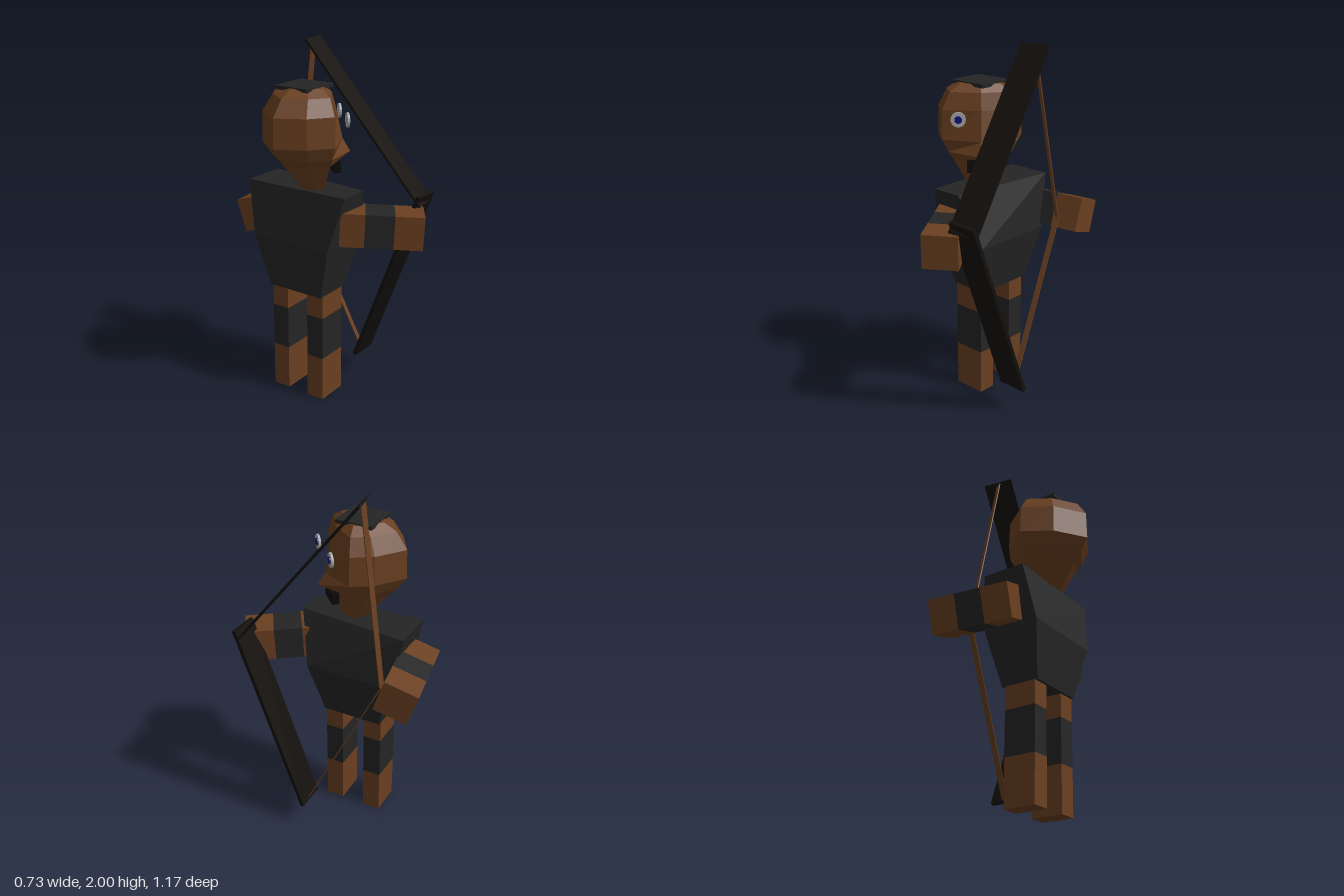
import * as THREE from 'three';

const mat = (color) => new THREE.MeshStandardMaterial({ color, flatShading: true, side: THREE.DoubleSide });
const skin = mat(0x6a3f20), cloth = mat(0x252525), bowWood = mat(0x130f0c);
const white = mat(0xa8a8a8), blue = mat(0x10107c), black = mat(0x0c0a09);

function add(parent, name, geometry, material, x = 0, y = 0, z = 0) {
  const mesh = new THREE.Mesh(geometry, material);
  mesh.name = name;
  mesh.position.set(x, y, z);
  parent.add(mesh);
  return mesh;
}

// Closed skin over rings of [x, y, z] points, listed bottom to top
function loft(rings) {
  const pos = [];
  const n = rings[0].length;
  const tri = (a, b, c) => pos.push(...a, ...b, ...c);
  for (let r = 0; r < rings.length - 1; r++) {
    for (let i = 0; i < n; i++) {
      const j = (i + 1) % n, lo = rings[r], hi = rings[r + 1];
      tri(lo[i], lo[j], hi[j]);
      tri(lo[i], hi[j], hi[i]);
    }
  }
  const bottom = rings[0], top = rings[rings.length - 1];
  for (let i = 1; i < n - 1; i++) {
    tri(bottom[0], bottom[i + 1], bottom[i]);
    tri(top[0], top[i], top[i + 1]);
  }
  const geometry = new THREE.BufferGeometry();
  geometry.setAttribute('position', new THREE.Float32BufferAttribute(pos, 3));
  geometry.computeVertexNormals();
  return geometry;
}

// Straight bar between two points, split into coloured bands [length, material]
function beam(parent, name, from, to, width, height, bands, roll = 0) {
  const group = new THREE.Group();
  group.name = name;
  const a = new THREE.Vector3(...from), b = new THREE.Vector3(...to);
  const total = bands.reduce((sum, band) => sum + band[0], 0);
  const scale = a.distanceTo(b) / total;
  group.position.copy(a);
  group.lookAt(b);
  group.rotateZ(roll);
  let start = 0;
  bands.forEach(([part, material], i) => {
    const length = part * scale;
    add(group, `${name}Band${i + 1}`, new THREE.BoxGeometry(width, height, length), material, 0, 0, start + length / 2);
    start += length;
  });
  parent.add(group);
}

function buildHead() {
  const head = new THREE.Group();
  head.name = 'head';

  // Skull outline at its widest, seen from above; entry 5 is the middle of the face
  const outline = [[-0.095, -0.33], [-0.25, -0.235], [-0.365, -0.07], [-0.28, 0.08],
    [-0.16, 0.17], [0.02, 0.055], [0.13, -0.11], [0.06, -0.22]];
  const cx = -0.12, cz = -0.08;
  const ring = (y, k, x, z, front) => outline.map(([px, pz], i) =>
    (i === 5 && front) ? [front[0], y, front[1]] : [x + (px - cx) * k, y, z + (pz - cz) * k]);
  add(head, 'skull', loft([
    ring(1.245, 0.34, -0.075, -0.035),
    ring(1.385, 0.7, -0.1, -0.06),
    ring(1.43, 0.84, -0.11, -0.07, [0.065, 0.11]), // nose tip
    ring(1.5, 1, cx, cz, [0.04, 0.077]),
    ring(1.66, 0.98, cx, cz),
    ring(1.75, 0.78, -0.11, -0.07),
    ring(1.788, 0.52, -0.1, -0.065),
  ]), skin);
  add(head, 'capPatch', new THREE.BoxGeometry(0.225, 0.02, 0.21), cloth, -0.1025, 1.785, -0.07);

  // Face details look along the diagonal between +x and +z
  const face = new THREE.Group();
  face.name = 'face';
  face.position.set(0.0425, 1.625, 0.08);
  face.rotation.y = Math.PI / 4;
  for (const [side, x] of [['left', 0.119], ['right', -0.119]]) {
    const eyeball = add(face, `${side}Eye`, new THREE.CylinderGeometry(0.04, 0.04, 0.012, 16), white, x, 0, 0);
    const pupil = add(face, `${side}Pupil`, new THREE.CylinderGeometry(0.02, 0.02, 0.012, 12), blue, x, 0, 0.005);
    eyeball.rotation.x = pupil.rotation.x = Math.PI / 2;
  }
  add(face, 'mouth', new THREE.BoxGeometry(0.13, 0.06, 0.04), black, -0.01, -0.265, -0.045);
  head.add(face);
  return head;
}

export function createModel() {
  const model = new THREE.Group();
  model.name = 'archer';

  // Legs with a dark band
  for (const [name, z] of [['leftLeg', -0.212], ['rightLeg', 0.028]]) {
    const leg = new THREE.Group();
    leg.name = name;
    for (const [part, y0, y1, material] of [['foot', 0, 0.26, skin], ['shinBand', 0.26, 0.51, cloth], ['thigh', 0.51, 0.65, skin]]) {
      add(leg, part, new THREE.BoxGeometry(0.185, y1 - y0, 0.105), material, -0.057, (y0 + y1) / 2, z);
    }
    model.add(leg);
  }

  // Torso, bulging in the middle and widening to the shoulders
  add(model, 'torso', loft([
    [[0.055, 0.64, -0.265], [-0.165, 0.64, -0.265], [-0.165, 0.64, 0.08], [0.055, 0.64, 0.08]],
    [[0.12, 0.94, -0.34], [-0.21, 0.94, -0.34], [-0.21, 0.94, 0.155], [0.12, 0.94, 0.155]],
    [[0.085, 1.24, -0.405], [-0.165, 1.24, -0.405], [-0.16, 1.24, 0.23], [0.02, 1.24, 0.23]],
  ]), cloth);

  model.add(buildHead());

  // Arms: one holds the bow forward, the other draws the string
  beam(model, 'bowArm', [-0.075, 1.06, 0.145], [0.167, 1.043, 0.515], 0.19, 0.185,
    [[0.13, skin], [0.155, cloth], [0.155, skin]]);
  beam(model, 'drawArm', [-0.13, 1.03, -0.4], [0.325, 1.02, -0.478], 0.19, 0.19,
    [[0.155, skin], [0.15, cloth], [0.155, skin]], -0.32);

  // Bow limbs and drawn string
  beam(model, 'upperLimb', [0.275, 1.145, 0.46], [0.16, 1.993, -0.208], 0.172, 0.012, [[1, bowWood]]);
  beam(model, 'lowerLimb', [0.275, 1.2, 0.462], [0.275, 0.138, 0.07], 0.17, 0.022, [[1, bowWood]]);
  beam(model, 'upperString', [0.16, 1.98, -0.2], [0.22, 1.02, -0.35], 0.032, 0.006, [[1, skin]]);
  beam(model, 'lowerString', [0.22, 1.02, -0.35], [0.275, 0.15, 0.07], 0.032, 0.006, [[1, skin]]);

  return model;
}
